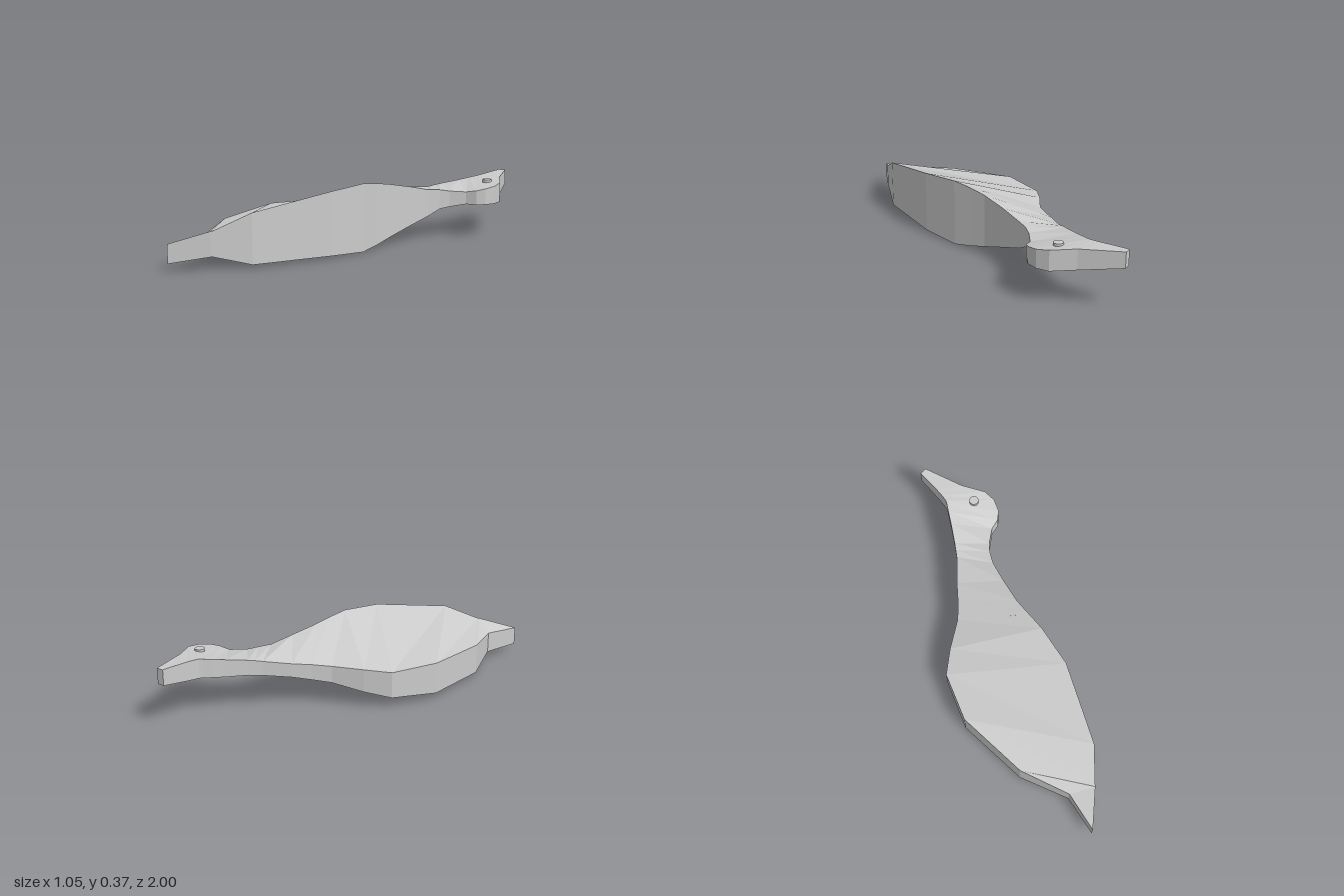
import * as THREE from 'three';

// Cross-sections from tail to beak, [x, z, bottom, top] for the outer and the inner edge
const outer = [
  [-0.51, 1.0, 0.04, 0.14], [-0.34, 0.87, 0.07, 0.20], [-0.335, 0.865, 0.07, 0.20],
  [-0.19, 0.73, 0.02, 0.285], [0.03, 0.35, 0.015, 0.355], [0.09, 0.13, 0, 0.37],
  [0.11, 0.02, 0.02, 0.357], [0.13, -0.08, 0.045, 0.34], [0.18, -0.22, 0.09, 0.31],
  [0.23, -0.34, 0.13, 0.28], [0.27, -0.40, 0.165, 0.275], [0.31, -0.44, 0.175, 0.265],
  [0.39, -0.49, 0.19, 0.26], [0.45, -0.50, 0.19, 0.27], [0.49, -0.53, 0.19, 0.28],
  [0.52, -0.59, 0.19, 0.29], [0.52, -0.66, 0.19, 0.30], [0.46, -0.78, 0.20, 0.31],
  [0.40, -1.0, 0.235, 0.32],
];
const inner = [
  [-0.51, 1.0, 0.04, 0.14], [-0.45, 0.79, 0.04, 0.155], [-0.53, 0.52, 0.02, 0.185],
  [-0.52, 0.12, 0.033, 0.205], [-0.40, -0.12, 0.058, 0.20], [-0.28, -0.20, 0.088, 0.213],
  [-0.13, -0.28, 0.13, 0.222], [-0.05, -0.35, 0.15, 0.235], [0.02, -0.42, 0.17, 0.245],
  [0.13, -0.52, 0.186, 0.264], [0.155, -0.55, 0.19, 0.272], [0.18, -0.58, 0.195, 0.278],
  [0.25, -0.67, 0.198, 0.293], [0.29, -0.725, 0.203, 0.303], [0.32, -0.765, 0.206, 0.31],
  [0.33, -0.78, 0.208, 0.313], [0.338, -0.815, 0.21, 0.315], [0.345, -0.86, 0.215, 0.317],
  [0.36, -1.0, 0.235, 0.32],
];

// Faceted slab joining the cross-sections
function slabGeometry() {
  const rings = outer.map((a, i) => {
    const b = inner[i];
    return [[a[0], a[3], a[1]], [b[0], b[3], b[1]], [b[0], b[2], b[1]], [a[0], a[2], a[1]]];
  });
  const pos = [];
  const quad = (a, b, c, d) => pos.push(...a, ...b, ...c, ...a, ...c, ...d);
  for (let i = 0; i < rings.length - 1; i++) {
    const r = rings[i], n = rings[i + 1];
    for (let k = 0; k < 4; k++) {
      const m = (k + 1) % 4;
      quad(r[k], n[k], n[m], r[m]);
    }
  }
  const end = rings[rings.length - 1];
  quad(end[0], end[3], end[2], end[1]);
  const geo = new THREE.BufferGeometry();
  geo.setAttribute('position', new THREE.Float32BufferAttribute(pos, 3));
  geo.computeVertexNormals();
  return geo;
}

export function createModel() {
  const group = new THREE.Group();
  const flat = new THREE.MeshStandardMaterial({ color: 0xcccccc, flatShading: true });
  const smooth = new THREE.MeshStandardMaterial({ color: 0xcccccc });

  // Tail, body, neck, head and beak in one slab
  const body = new THREE.Mesh(slabGeometry(), flat);
  body.name = 'birdBody';
  group.add(body);

  // Eye pin showing on both faces of the head
  const eye = new THREE.Mesh(new THREE.CylinderGeometry(0.026, 0.026, 0.126, 20), smooth);
  eye.name = 'eye';
  eye.position.set(0.435, 0.249, -0.665);
  group.add(eye);

  // Thin seams across the base of the neck, above and below
  const addSeam = (name, from, to) => {
    const a = new THREE.Vector3(...from), b = new THREE.Vector3(...to);
    const seam = new THREE.Mesh(new THREE.BoxGeometry(0.006, 0.006, a.distanceTo(b)), flat);
    seam.name = name;
    seam.position.copy(a).lerp(b, 0.5);
    seam.lookAt(b);
    group.add(seam);
  };
  addSeam('upperSeam', [-0.09, 0.239, -0.22], [0.07, 0.332, -0.03]);
  addSeam('lowerSeam', [-0.09, 0.114, -0.22], [0.07, 0.040, -0.03]);
  return group;
}
